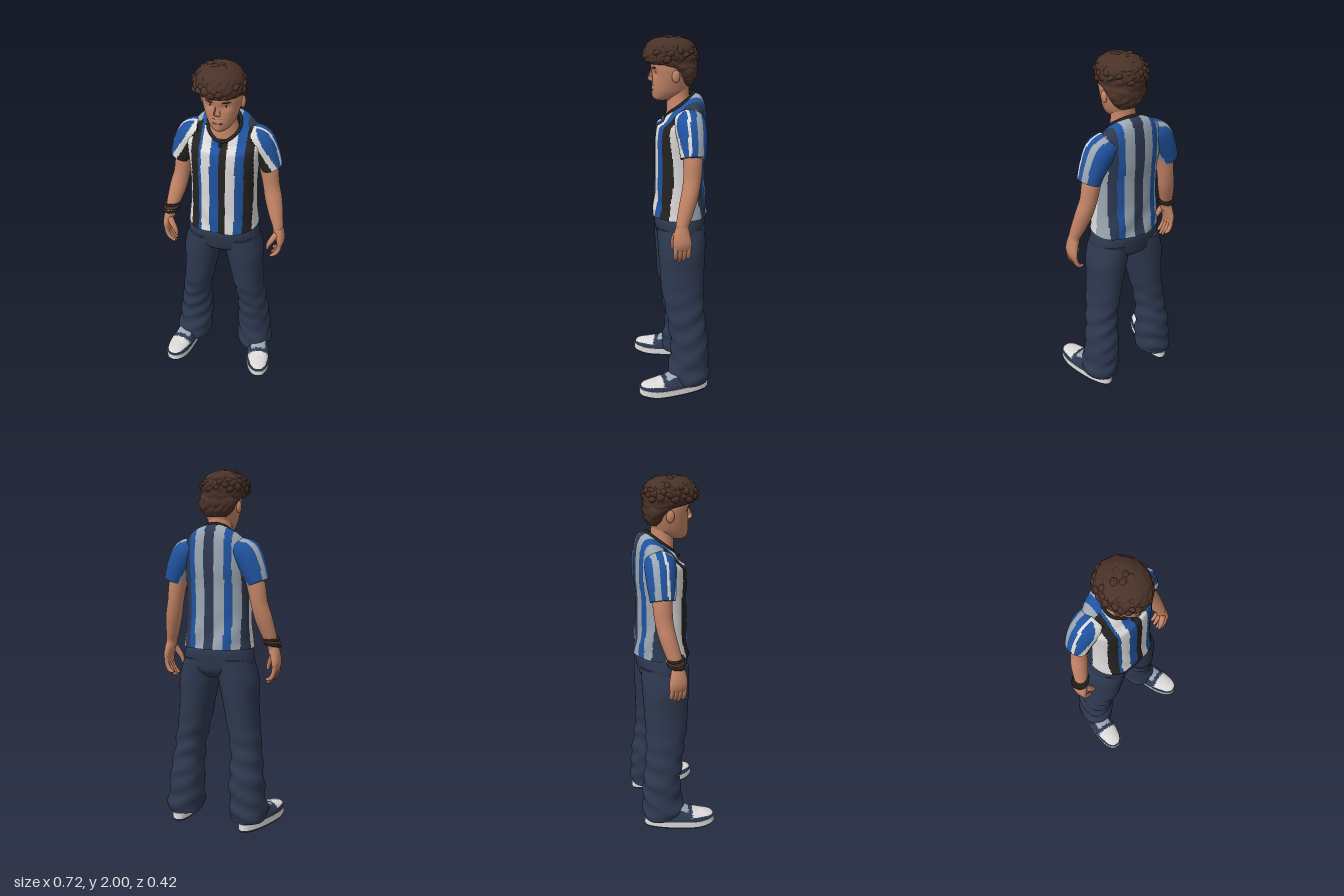
import * as THREE from 'three';

const mat = (name, color, side = THREE.FrontSide) => {
  const m = new THREE.MeshStandardMaterial({ color, side });
  m.name = name;
  return m;
};
const skin = mat('skin', 0xc58567), hairBrown = mat('hair brown', 0x4a3228);
const white = mat('white', 0xdcdad8), black = mat('black', 0x242322);
const blue = mat('blue', 0x20539f), navy = mat('navy', 0x2e3950);
const grey = mat('blue grey', 0x9aa6b2), lip = mat('stubble', 0x8f5a48);

// Smooth interpolation through rows of numbers, t from 0 to 1
function sample(rows, t) {
  const f = t * (rows.length - 1), i = Math.min(Math.floor(f), rows.length - 2), k = f - i;
  const at = (n) => rows[Math.max(0, Math.min(rows.length - 1, n))];
  const [p, q, r, s] = [at(i - 1), at(i), at(i + 1), at(i + 2)];
  return q.map((b, n) => b + 0.5 * k * (r[n] - p[n] + k * (2 * p[n] - 5 * b + 4 * r[n] - s[n] + k * (3 * (b - r[n]) + s[n] - p[n]))));
}

// Skin of oval rings through rows [x, y, z, half width, half depth].
// flat keeps the rings level; pick(point) gives the material of a face; warp(point) moves a vertex.
function loft(name, rows, material, o = {}) {
  const { n = 28, m = 24, flat = false, e = 1, top = true, pick = null, warp = null } = o;
  const pos = [], rings = [], ref = new THREE.Vector3(0, 0, 1);
  const pw = (v) => Math.sign(v) * Math.abs(v) ** e;
  for (let i = 0; i <= m; i++) {
    const [x, y, z, a, b] = sample(rows, i / m);
    const c = new THREE.Vector3(x, y, z), t = new THREE.Vector3(0, 1, 0);
    if (!flat) {
      const p0 = sample(rows, Math.max(0, i / m - 0.01)), p1 = sample(rows, Math.min(1, i / m + 0.01));
      t.set(p1[0] - p0[0], p1[1] - p0[1], p1[2] - p0[2]).normalize();
    }
    const u = t.clone().cross(ref).normalize(), w = u.clone().cross(t);
    const ring = [];
    for (let j = 0; j < n; j++) {
      const q = (j / n) * Math.PI * 2;
      const p = c.clone().addScaledVector(u, a * pw(Math.cos(q))).addScaledVector(w, b * pw(Math.sin(q)));
      if (warp) warp(p);
      ring.push(p);
    }
    rings.push(ring);
  }
  const capped = (ring) => {
    const c = ring.reduce((s, p) => s.add(p), new THREE.Vector3()).divideScalar(n);
    return ring.map(() => c.clone());
  };
  const strips = [rings, [capped(rings[0]), rings[0]]];
  if (top) strips.push([rings[m], capped(rings[m])]);
  const mats = [], faces = [];
  for (const strip of strips) {
    const base = pos.length / 3;
    strip.forEach((r) => r.forEach((p) => pos.push(p.x, p.y, p.z)));
    for (let i = 0; i < strip.length - 1; i++) for (let j = 0; j < n; j++) {
      const k = (j + 1) % n;
      const mid = strip[i][j].clone().add(strip[i + 1][k]).add(strip[i][k]).add(strip[i + 1][j]).multiplyScalar(0.25);
      const mt = pick ? pick(mid) : material;
      let g = mats.indexOf(mt);
      if (g < 0) { g = mats.push(mt) - 1; faces.push([]); }
      const A = base + i * n + j, B = A + n, C = base + i * n + k, D = C + n;
      faces[g].push(A, B, C, C, B, D);
    }
  }
  const geo = new THREE.BufferGeometry();
  geo.setAttribute('position', new THREE.Float32BufferAttribute(pos, 3));
  geo.setIndex(faces.flat());
  let start = 0;
  faces.forEach((f, g) => { geo.addGroup(start, f.length, g); start += f.length; });
  geo.computeVertexNormals();
  const mesh = new THREE.Mesh(geo, mats.length > 1 ? mats : mats[0]);
  mesh.name = name;
  return mesh;
}

function ball(name, material, [x, y, z], [a, b, c]) {
  const mesh = new THREE.Mesh(new THREE.SphereGeometry(1, 16, 12), material);
  mesh.position.set(x, y, z);
  mesh.scale.set(a, b, c);
  mesh.name = name;
  return mesh;
}

const bump = (p, x, y, r) => Math.exp(-((p.x - x) ** 2 + (p.y - y) ** 2) / (r * r));
const band = (table, v) => table.find(([limit]) => v < limit)[1];
const frontStripes = [[-0.16, white], [-0.115, black], [-0.1, blue], [-0.05, white], [-0.003, blue], [0.038, black],
  [0.085, white], [0.13, blue], [0.175, black], [9, white]];
const backStripes = [[-0.165, navy], [-0.125, grey], [-0.085, blue], [-0.03, grey], [0.03, navy], [0.085, grey],
  [0.12, blue], [0.16, navy], [9, grey]];
const sleeveStripes = [[-0.14, blue], [-0.11, grey], [-0.075, blue], [-0.055, white], [9, blue]];

function makeHead() {
  const g = new THREE.Group();
  g.name = 'head';
  g.add(loft('neck', [[0, 1.55, -0.05, 0.1, 0.08], [0, 1.62, -0.045, 0.08, 0.07], [0, 1.68, -0.037, 0.068, 0.062], [0, 1.76, -0.03, 0.068, 0.065]], skin, { flat: true }));
  // Face, with eye sockets pressed in
  g.add(loft('face', [[0, 1.657, 0.045, 0.03, 0.03], [0, 1.67, 0.032, 0.05, 0.055], [0, 1.7, 0.008, 0.073, 0.088], [0, 1.74, 0, 0.088, 0.1],
    [0, 1.79, -0.005, 0.1, 0.108], [0, 1.84, -0.005, 0.105, 0.116], [0, 1.9, -0.01, 0.1, 0.115], [0, 1.95, -0.01, 0.07, 0.08]], skin, {
    flat: true, n: 48, m: 48, e: 0.92,
    warp: (p) => {
      if (p.z > 0.03) p.z += 0.012 * bump(p, 0, 1.672, 0.025) + 0.008 * bump(p, 0, 1.715, 0.03)
        - 0.013 * (bump(p, 0.042, 1.808, 0.022) + bump(p, -0.042, 1.808, 0.022));
    } }));
  g.add(loft('nose', [[0, 1.825, 0.098, 0.011, 0.01], [0, 1.795, 0.108, 0.012, 0.013], [0, 1.773, 0.113, 0.018, 0.016], [0, 1.757, 0.103, 0.016, 0.01]], skin, { flat: true, n: 16, m: 14 }));
  g.add(ball('mouth', lip, [0, 1.713, 0.1], [0.027, 0.006, 0.007]));
  g.add(ball('moustache', lip, [0, 1.737, 0.099], [0.028, 0.004, 0.005]));
  g.add(ball('chinBeard', lip, [0, 1.68, 0.095], [0.016, 0.011, 0.007]));
  for (const s of [1, -1]) {
    g.add(ball('eye', white, [s * 0.042, 1.807, 0.083], [0.014, 0.006, 0.006]));
    g.add(ball('pupil', black, [s * 0.042, 1.807, 0.087], [0.005, 0.005, 0.004]));
    const brow = ball('brow', hairBrown, [s * 0.044, 1.831, 0.096], [0.024, 0.005, 0.007]);
    brow.rotation.set(0, s * 0.4, s * 0.08);
    g.add(brow);
    g.add(ball('ear', skin, [s * 0.104, 1.79, -0.015], [0.013, 0.033, 0.022]));
  }
  // Hair cap, lumpy, lower at the nape, with curls all over
  g.add(loft('hair', [[0, 1.735, -0.08, 0.055, 0.03], [0, 1.76, -0.077, 0.083, 0.05], [0, 1.79, -0.075, 0.103, 0.062], [-0.003, 1.83, -0.05, 0.116, 0.09],
    [-0.01, 1.858, -0.002, 0.124, 0.138], [-0.012, 1.9, 0.003, 0.13, 0.146], [-0.012, 1.95, 0.005, 0.11, 0.125], [-0.012, 1.98, 0.005, 0.065, 0.08], [-0.012, 1.988, 0.005, 0.015, 0.02]], hairBrown, {
    flat: true, n: 72, m: 48,
    warp: (p) => {
      const k = 1 + 0.03 * Math.sin(p.x * 75 + 3 * Math.sin(p.y * 60)) * Math.sin(p.z * 68 + 2 * Math.sin(p.x * 50));
      p.x *= k;
      p.z *= k;
    } }));
  let seed = 7;
  const rnd = () => (seed = (seed * 16807) % 2147483647) / 2147483647;
  for (let i = 0; i < 80; i++) {
    const h = 1 - (i + 0.5) / 70, r = Math.sqrt(1 - h * h), q = i * 2.39996;
    const curl = ball('curl', hairBrown, [-0.014 + 0.118 * r * Math.cos(q), 1.888 + 0.088 * h, 0.004 + 0.134 * r * Math.sin(q)],
      [0.016 + 0.012 * rnd(), 0.014 + 0.008 * rnd(), 0.018 + 0.01 * rnd()]);
    curl.rotation.set(rnd() * 0.6, rnd() * 3, rnd() * 0.6);
    g.add(curl);
  }
  return g;
}

function makeShirt() {
  const g = new THREE.Group();
  g.name = 'shirt';
  g.add(loft('shirtBody', [[0, 1.02, -0.047, 0.199, 0.155], [0, 1.08, -0.046, 0.192, 0.147], [0, 1.2, -0.045, 0.184, 0.139], [0, 1.35, -0.045, 0.185, 0.138],
    [0, 1.45, -0.05, 0.195, 0.141], [0, 1.53, -0.055, 0.202, 0.135], [0, 1.58, -0.06, 0.19, 0.122], [0, 1.615, -0.06, 0.16, 0.105], [0, 1.64, -0.052, 0.122, 0.09], [0, 1.66, -0.045, 0.085, 0.075]], white, {
    flat: true, n: 160, m: 80, e: 0.88, top: false,
    pick: (p) => band(p.z > -0.06 ? frontStripes : backStripes, p.x),
    // Neckline slopes to the front; soft folds near the hem
    warp: (p) => {
      const k = THREE.MathUtils.smoothstep(p.y, 1.5, 1.66), low = 1 - THREE.MathUtils.smoothstep(p.y, 1.02, 1.3);
      p.z += 0.006 * low * Math.sin(p.x * 28 + p.y * 30);
      p.y -= k * 0.75 * (p.z + 0.07);
    } }));
  // Neckband and small pendant
  const pts = [];
  for (let i = 0; i < 32; i++) {
    const q = (i / 32) * Math.PI * 2, z = -0.045 + 0.077 * Math.sin(q);
    pts.push(new THREE.Vector3(0.088 * Math.cos(q), 1.66 - 0.75 * (z + 0.07) - 0.015 * Math.max(0, Math.sin(q)) ** 6, z));
  }
  const band1 = new THREE.Mesh(new THREE.TubeGeometry(new THREE.CatmullRomCurve3(pts, true), 64, 0.009, 8, true), black);
  band1.name = 'neckband';
  g.add(band1, ball('pendant', black, [0, 1.56, 0.056], [0.008, 0.012, 0.008]));
  for (const s of [1, -1]) {
    g.add(loft('sleeve', [[0.12, 1.565, -0.08, 0.065, 0.08], [0.178, 1.535, -0.085, 0.083, 0.084], [0.222, 1.465, -0.09, 0.074, 0.077], [0.255, 1.385, -0.09, 0.06, 0.068]].map(([x, ...r]) => [x * s, ...r]), blue, {
      n: 72, m: 44,
      pick: (p) => {
        const d = 0.86 * (Math.abs(p.x) - 0.19) + 0.5 * (p.y - 1.52);
        return p.z > -0.06 ? (d > 0.03 ? blue : d > 0 ? white : black) : band(sleeveStripes, p.z);
      } }));
  }
  return g;
}

function makeArm(s) {
  const g = new THREE.Group();
  g.name = s > 0 ? 'leftArm' : 'rightArm';
  const side = (rows) => rows.map(([x, ...r]) => [x * s, ...r]);
  g.add(loft('arm', side([[0.21, 1.48, -0.09, 0.05, 0.055], [0.24, 1.36, -0.09, 0.05, 0.052], [0.256, 1.27, -0.085, 0.046, 0.048], [0.275, 1.19, -0.07, 0.048, 0.046],
    [0.298, 1.1, -0.045, 0.04, 0.041], [0.314, 1.04, -0.028, 0.031, 0.035], [0.32, 1, -0.025, 0.029, 0.036]]), skin, { m: 30 }));
  g.add(loft('palm', side([[0.318, 1.03, -0.025, 0.029, 0.034], [0.33, 0.98, -0.024, 0.027, 0.046], [0.336, 0.94, -0.026, 0.023, 0.05], [0.333, 0.905, -0.028, 0.014, 0.045]]), skin, { m: 14 }));
  [0.008, -0.015, -0.038, -0.06].forEach((z, i) => {
    const tip = 0.825 + [0.012, 0, 0.006, 0.028][i];
    g.add(loft('finger', side([[0.336, 0.94, z, 0.013, 0.013], [0.332, 0.895, z, 0.013, 0.013], [0.314, 0.86, z, 0.012, 0.012], [0.287, tip, z, 0.007, 0.007]]), skin, { n: 12, m: 12 }));
  });
  g.add(loft('thumb', side([[0.315, 1, 0, 0.018, 0.018], [0.294, 0.965, 0.013, 0.017, 0.017], [0.275, 0.93, 0.02, 0.013, 0.013], [0.268, 0.895, 0.02, 0.007, 0.007]]), skin, { n: 12, m: 12 }));
  if (s < 0) [1.08, 1.062, 1.044].forEach((y, i) => {
    const ring = new THREE.Mesh(new THREE.TorusGeometry(0.041, 0.008, 8, 28), i === 1 ? hairBrown : black);
    ring.position.set(-0.302 - (1.1 - y) * 0.25, y, -0.035);
    ring.rotation.set(Math.PI / 2 + 0.15 * (i - 1), 0.12, 0);
    ring.name = 'bracelet';
    g.add(ring);
  });
  return g;
}

function makeShoe(s) {
  const g = new THREE.Group();
  g.name = 'shoe';
  const taper = (p) => { p.x *= 1 + 0.7 * p.z; p.y += 0.012 * THREE.MathUtils.smoothstep(p.z, 0.1, 0.21); };
  const o = { flat: true, n: 56, e: 0.85, warp: taper };
  g.add(loft('outsole', [[0, 0, 0, 0.066, 0.2], [0, 0.012, 0, 0.07, 0.205]], navy, { ...o, m: 2 }));
  g.add(loft('midsole', [[0, 0.012, 0, 0.071, 0.206], [0, 0.045, 0, 0.07, 0.204]], white, { ...o, m: 3 }));
  g.add(loft('upper', [[0, 0.045, 0, 0.069, 0.202], [0, 0.065, -0.003, 0.067, 0.193], [0, 0.082, -0.018, 0.06, 0.167], [0, 0.1, -0.05, 0.055, 0.125], [0, 0.13, -0.085, 0.05, 0.08]], navy, {
    ...o, m: 28,
    pick: (p) => (p.y < 0.071 ? navy : p.z > 0.075 ? white : p.z > -0.01 && p.z < 0.05 && Math.abs(p.x) < 0.045 ? grey : navy) }));
  g.add(ball('toeCap', white, [0, 0.066, 0.115], [0.052, 0.026, 0.068]));
  g.position.set(s * 0.24, 0, 0.008);
  g.rotation.y = s * 0.2;
  return g;
}

function makeTrousers() {
  const g = new THREE.Group();
  g.name = 'trousers';
  g.add(loft('hips', [[0, 0.855, -0.045, 0.1, 0.09], [0, 0.89, -0.046, 0.19, 0.125], [0, 0.94, -0.046, 0.207, 0.138], [0, 1, -0.046, 0.198, 0.145], [0, 1.05, -0.046, 0.18, 0.13]], navy, { flat: true, n: 48, e: 0.9 }));
  for (const s of [1, -1]) {
    g.add(loft('trouserLeg', [[0.2, 0.05, -0.082, 0.096, 0.112], [0.2, 0.1, -0.08, 0.106, 0.12], [0.193, 0.16, -0.083, 0.1, 0.114], [0.187, 0.27, -0.087, 0.097, 0.107], [0.18, 0.38, -0.073, 0.087, 0.106],
      [0.17, 0.48, -0.062, 0.085, 0.108], [0.15, 0.6, -0.05, 0.09, 0.12], [0.135, 0.72, -0.048, 0.098, 0.126], [0.122, 0.84, -0.047, 0.11, 0.133], [0.1, 0.96, -0.046, 0.098, 0.135]].map(([x, ...r]) => [x * s, ...r]), navy, {
      flat: true, n: 40, m: 64, e: 0.95,
      // Soft creases around knee and ankle
      warp: (p) => {
        const k = 0.005 * (1 - THREE.MathUtils.smoothstep(p.y, 0.4, 0.7));
        p.z += k * Math.sin(p.y * 60 + p.x * 25 * s);
        p.x += k * Math.sin(p.y * 48 + p.z * 22);
      } }));
  }
  return g;
}

export function createModel() {
  const model = new THREE.Group();
  model.name = 'standingMan';
  model.add(makeHead(), makeShirt(), makeTrousers());
  for (const s of [1, -1]) model.add(makeArm(s), makeShoe(s));
  return model;
}
